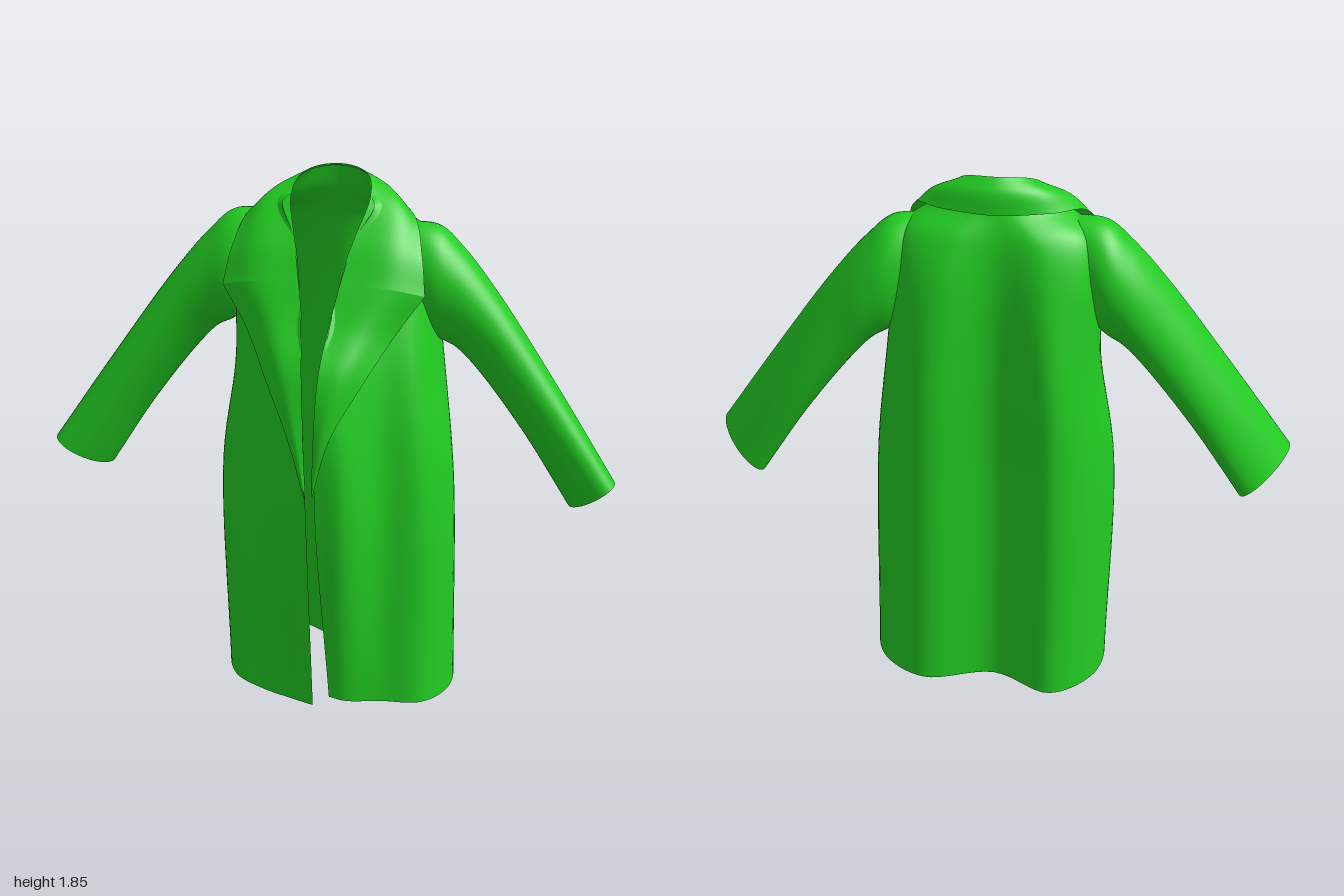
import * as THREE from 'three';
import { mergeVertices } from 'three/addons/utils/BufferGeometryUtils.js';

const cloth = new THREE.MeshStandardMaterial({ color: 0x22cc22, side: THREE.DoubleSide });
const V = (x, y, z) => new THREE.Vector3(x, y, z);

// Smooth surface through a list of cross-sections (each a list of points)
function loft(name, sections, across, along) {
  const rows = sections.map((s) => new THREE.CatmullRomCurve3(s).getPoints(across));
  const position = [], index = [];
  for (let i = 0; i <= across; i++) {
    const column = new THREE.CatmullRomCurve3(rows.map((r) => r[i])).getPoints(along);
    column.forEach((p) => position.push(p.x, p.y, p.z));
  }
  const w = along + 1;
  for (let i = 0; i < across; i++) {
    for (let j = 0; j < along; j++) {
      const a = i * w + j, b = a + w;
      index.push(a, a + 1, b, b, a + 1, b + 1);
    }
  }
  let g = new THREE.BufferGeometry();
  g.setAttribute('position', new THREE.Float32BufferAttribute(position, 3));
  g.setIndex(index);
  g = mergeVertices(g, 1e-5);
  g.computeVertexNormals();
  const mesh = new THREE.Mesh(g, cloth);
  mesh.name = name;
  return mesh;
}

// Half sections of the right side as [x, z], front edge to centre back
const skirt = [[0, 0.365], [-0.11, 0.315], [-0.21, 0.2], [-0.33, 0.11],
  [-0.395, -0.06], [-0.35, -0.23], [-0.21, -0.345], [0, -0.25]];
const chest = [[-0.02, 0.325], [-0.09, 0.285], [-0.19, 0.175], [-0.29, 0.1],
  [-0.34, -0.06], [-0.32, -0.22], [-0.2, -0.335], [0, -0.25]];
const shoulder = [[-0.065, 0.155], [-0.12, 0.125], [-0.22, 0.085], [-0.3, 0.03],
  [-0.345, -0.08], [-0.31, -0.22], [-0.18, -0.285], [0, -0.24]];
const yoke = [[-0.1, 0.08], [-0.17, 0.055], [-0.24, 0.015], [-0.3, -0.03],
  [-0.32, -0.09], [-0.28, -0.185], [-0.15, -0.24], [0, -0.22]];
const hem = skirt.map(([x, z]) => [x + 0.013 * (z > -0.2), Math.min(z * 1.05, 0.32 + 0.5 * x)]);

// Half of an open neck ring, from the front opening to the centre back
const neckArc = (rx, rz, zc, start) => Array.from({ length: 8 }, (_, i) => {
  const a = start - (start + Math.PI / 2) * i / 7;
  return [-rx * Math.cos(a), zc + rz * Math.sin(a)];
});

// Full section: the left half mirrors the right, wider, with a fuller front corner and flatter back
function bodySection(y, half, { lift = 0, widen = 1, flatten = 0, corner = 0, edge = 0, cap = 1 } = {}) {
  const left = half.slice(0, -1).reverse().map(([x, z]) => {
    const move = z < -0.1 ? flatten : corner * Math.max(0, -x - 0.2);
    return [Math.max(-x * widen, edge), Math.min(z + move, cap)];
  });
  return [...half, ...left].map(([x, z], i) => V(x, y + lift * ((i - 7) / 7) ** 2, z));
}

function makeBody() {
  return loft('coatBody', [
    bodySection(0, hem, { lift: 0.035, widen: 1.17, flatten: 0.04, corner: 0.5, edge: 0.055, cap: 0.25 }),
    bodySection(0.8, skirt, { widen: 1.1, flatten: 0.03, corner: 0.4, edge: 0.02, cap: 0.32 }),
    bodySection(1.2, chest, { widen: 1.12, flatten: 0.025, corner: 0.2, edge: 0.035, cap: 0.32 }),
    bodySection(1.5, shoulder),
    bodySection(1.65, yoke),
    bodySection(1.75, neckArc(0.195, 0.125, -0.06, 0.65)),
    bodySection(1.845, neckArc(0.135, 0.115, -0.05, 0.17), { lift: -0.065 }),
  ], 112, 72);
}

// Sleeve rings: top x, y, bottom x, y, centre z, half depth
const sleeveRings = [
  [0.2, 1.68, 0.26, 1.4, -0.085, 0.08],
  [0.35, 1.675, 0.35, 1.29, -0.1, 0.13],
  [0.44, 1.6, 0.42, 1.25, -0.105, 0.13],
  [0.57, 1.445, 0.49, 1.18, -0.1, 0.12],
  [0.78, 1.15, 0.66, 0.96, -0.08, 0.115],
  [0.995, 0.835, 0.83, 0.7, -0.05, 0.11],
];

// Sleeve tube, its rings turning forward towards the cuff
function makeSleeve(name, side) {
  const raise = side < 0 ? 0.018 : 0;
  const sections = sleeveRings.map(([tx, ty, bx, by, zc, dz], n) => {
    const twist = 0.6 * (n / 5) ** 2;
    const ring = [];
    for (let k = 0; k <= 24; k++) {
      const a = (k % 24) / 24 * Math.PI * 2, u = (1 + Math.cos(a)) / 2;
      ring.push(V(side * (bx + (tx - bx) * u), by + (ty - by) * u + raise, zc + dz * Math.sin(a + twist)));
    }
    return ring;
  });
  return loft(name, sections, 48, 40);
}

// Lapel and collar stations for the right side: fold point, then outer edge point
const lapelStations = [
  [0, 0.86, 0.366, -0.002, 0.83, 0.37],
  [-0.01, 1.05, 0.355, -0.065, 1.04, 0.35],
  [-0.025, 1.25, 0.31, -0.155, 1.2, 0.265],
  [-0.045, 1.4, 0.21, -0.25, 1.35, 0.155],
  [-0.07, 1.52, 0.15, -0.345, 1.48, 0.1],
];
const collarStations = [
  lapelStations[4],
  [-0.1, 1.65, 0.08, -0.325, 1.6, 0.045],
  [-0.135, 1.78, -0.03, -0.28, 1.71, -0.06],
  [-0.1, 1.835, -0.125, -0.18, 1.735, -0.17],
  [0, 1.85, -0.168, 0, 1.735, -0.212],
];

// Section from fold to outer edge, with a soft roll outwards in between
function rollSection([fx, fy, fz, ox, oy, oz], side) {
  const place = (x, y, z) => {
    const low = Math.max(0, Math.min(1, (1.5 - y) / 0.6));
    return side < 0 ? V(x, y, z) : V(-x + 0.015 * low, y, Math.min(z, 0.34));
  };
  const fold = place(fx, fy, fz), outer = place(ox, oy, oz);
  const mid = fold.clone().add(outer).multiplyScalar(0.5);
  const out = V(mid.x, 0.12, mid.z + 0.08).normalize();
  mid.addScaledVector(out, Math.min(0.03, fold.distanceTo(outer) * 0.14));
  return [fold, mid, outer];
}

export function createModel() {
  const coat = new THREE.Group();
  coat.name = 'coat';
  coat.add(makeBody(), makeSleeve('leftSleeve', 1), makeSleeve('rightSleeve', -1));
  for (const [name, side] of [['leftLapel', 1], ['rightLapel', -1]]) {
    coat.add(loft(name, lapelStations.map((s) => rollSection(s, side)), 12, 40));
  }
  // Collar runs from one lapel point round the neck to the other
  const right = collarStations.map((s) => rollSection(s, -1));
  const left = collarStations.slice(0, -1).reverse().map((s) => rollSection(s, 1));
  coat.add(loft('collar', [...right, ...left], 12, 80));
  return coat;
}
